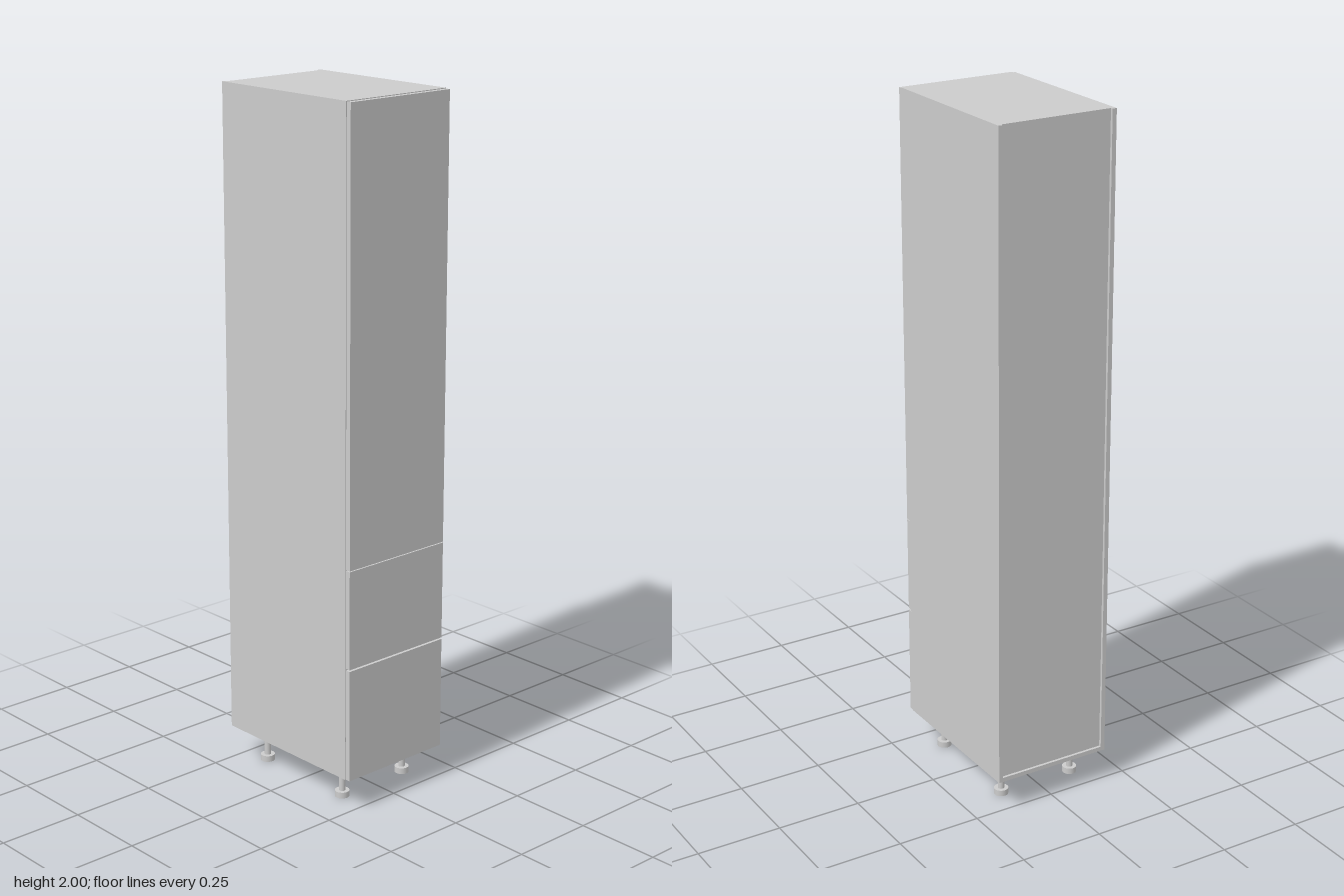
import * as THREE from 'three';

export function createModel() {
  const model = new THREE.Group();
  const material = new THREE.MeshStandardMaterial({ color: 0xcccccc });

  // Box given by its limits on each axis
  function panel(name, [x0, x1], [y0, y1], [z0, z1]) {
    const mesh = new THREE.Mesh(new THREE.BoxGeometry(x1 - x0, y1 - y0, z1 - z0), material);
    mesh.position.set((x0 + x1) / 2, (y0 + y1) / 2, (z0 + z1) / 2);
    mesh.name = name;
    model.add(mesh);
  }

  const W = 0.18, T = 0.013, bottom = 0.097, top = 2;
  const back = -0.257, front = 0.24, inner = W - T;

  // Carcass: the sides and floor run past the recessed back panel
  panel('leftSide', [inner, W], [bottom, top], [back, front]);
  panel('rightSide', [-W, -inner], [bottom, top], [back, front]);
  panel('topPanel', [-inner, inner], [top - T, top], [-0.249, front]);
  panel('bottomPanel', [-inner, inner], [bottom, bottom + T], [back, front]);
  panel('backPanel', [-inner, inner], [bottom + T, top - T], [-0.249, -0.244]);
  for (const y of [0.43, 0.723]) {
    panel('shelf', [-inner, inner], [y - T / 2, y + T / 2], [-0.244, front]);
  }

  // Fronts, separated by narrow gaps
  const fronts = [
    ['lowerDrawerFront', 0.098, 0.429],
    ['upperDrawerFront', 0.434, 0.722],
    ['door', 0.7245, 1.998],
  ];
  for (const [name, y0, y1] of fronts) {
    panel(name, [-0.179, 0.179], [y0, y1], [0.241, 0.256]);
  }

  // Adjustable legs: foot disc, slim shaft and mounting flange, as [radius, y, height]
  const sections = [
    ['foot', 0.021, 0, 0.018],
    ['shaft', 0.0095, 0.018, 0.064],
    ['flange', 0.021, 0.082, 0.015],
  ];
  for (const x of [-0.118, 0.118]) {
    for (const z of [-0.166, 0.16]) {
      const leg = new THREE.Group();
      leg.name = 'leg';
      for (const [name, r, y, h] of sections) {
        const part = new THREE.Mesh(new THREE.CylinderGeometry(r, r, h, 24), material);
        part.position.y = y + h / 2;
        part.name = name;
        leg.add(part);
      }
      leg.position.set(x, 0, z);
      model.add(leg);
    }
  }
  return model;
}
